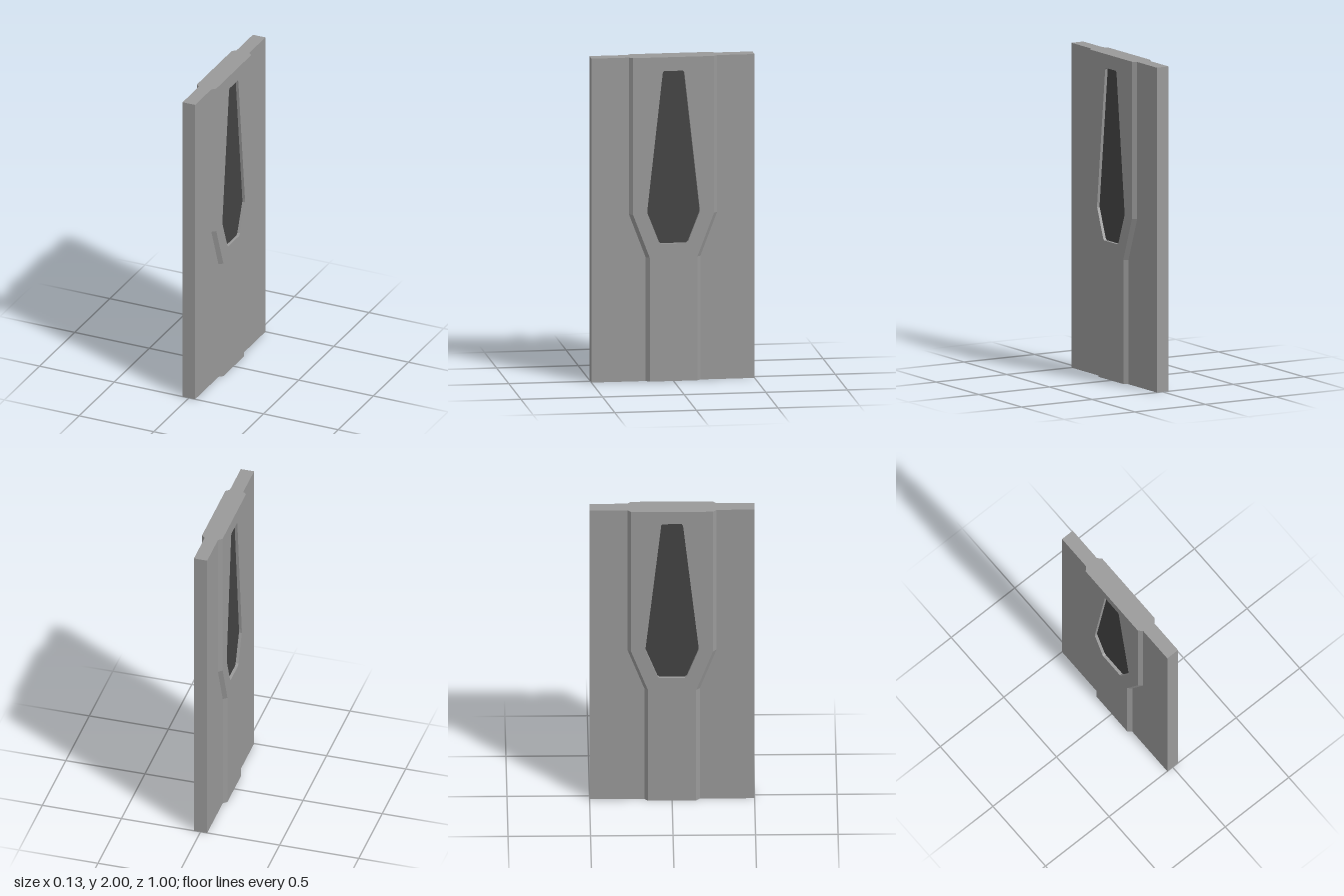
import * as THREE from 'three';

const SLAB = 0.042;   // half thickness of the slab
const RISE = 0.023;   // height of the raised panel above the slab
const BEVEL = 0.022;  // sideways run of the sloped panel edges

// Symmetric outline from [half width, height] pairs
function outline(pairs, Type = THREE.Shape) {
  const right = pairs.map(([w, y]) => new THREE.Vector2(w, y));
  const left = pairs.map(([w, y]) => new THREE.Vector2(-w, y)).reverse();
  return new Type([...right, ...left]);
}

const PANEL = [[0.146, 0], [0.146, 0.765], [0.248, 1.032], [0.248, 2]];
const WINDOW = [[0.078, 0.85], [0.09, 0.862], [0.16, 1.04], [0.16, 1.065], [0.066, 1.905], [0.058, 1.915]];

// Raised panel with a window opening; its foot flares out along the sides
function panelGeometry() {
  const shape = outline(PANEL);
  shape.holes.push(outline(WINDOW, THREE.Path));
  const geo = new THREE.ExtrudeGeometry(shape, { depth: RISE, bevelEnabled: false });
  const p = geo.attributes.position;
  for (let i = 0; i < p.count; i++) {
    const x = p.getX(i);
    const onEdge = Math.abs(x) > 0.2 || p.getY(i) < 0.8;
    if (p.getZ(i) < 1e-5 && onEdge) p.setX(i, x + Math.sign(x) * BEVEL);
  }
  geo.computeVertexNormals();
  return geo;
}

export function createModel() {
  const grey = new THREE.MeshStandardMaterial({ name: 'panel grey', color: 0x999999 });
  const dark = new THREE.MeshStandardMaterial({ name: 'window dark grey', color: 0x434343 });
  const model = new THREE.Group();
  model.name = 'doorPanel';

  // Flat slab
  const slab = new THREE.Mesh(new THREE.BoxGeometry(SLAB * 2, 2, 1), grey);
  slab.name = 'slab';
  slab.position.y = 1;
  model.add(slab);

  // Raised panel and recessed window on both faces
  const panelGeo = panelGeometry();
  const paneGeo = new THREE.ExtrudeGeometry(outline(WINDOW), { depth: 0.005, bevelEnabled: false });
  for (const [side, s] of [['left', 1], ['right', -1]]) {
    const face = new THREE.Group();
    face.name = side + 'Face';
    const panel = new THREE.Mesh(panelGeo, grey);
    panel.name = side + 'RaisedPanel';
    const pane = new THREE.Mesh(paneGeo, dark);
    pane.name = side + 'Window';
    face.add(panel, pane);
    face.rotation.y = s * Math.PI / 2;
    face.position.x = s * SLAB;
    model.add(face);
  }
  return model;
}
